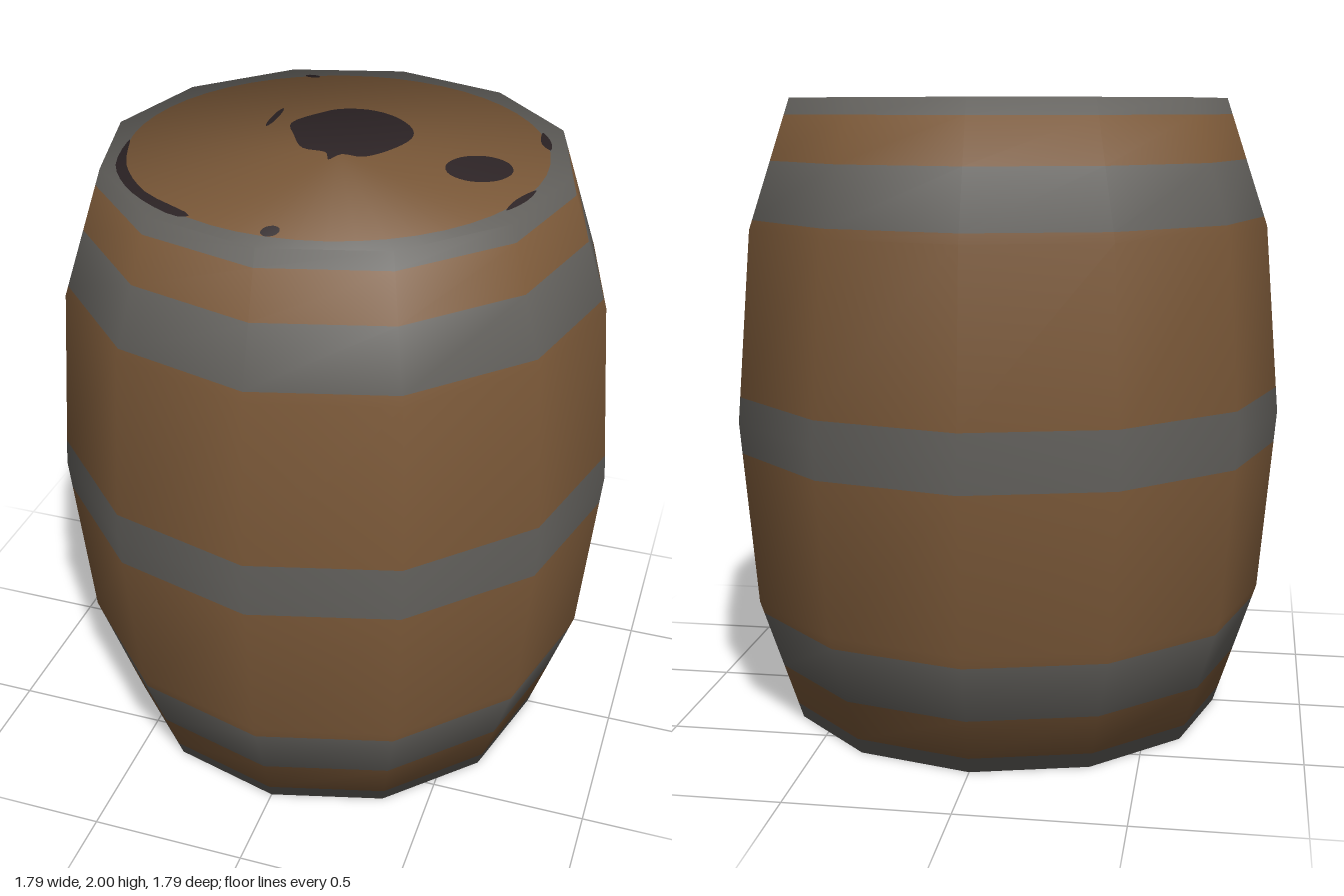
import * as THREE from 'three';

const wood = new THREE.MeshStandardMaterial({ color: 0x7a5838 });
wood.name = 'wood';
const iron = new THREE.MeshStandardMaterial({ color: 0x62605c });
iron.name = 'iron';
const stain = new THREE.MeshStandardMaterial({ color: 0x2d2426 });
stain.name = 'darkStain';

const SIDES = 12;
const RIM = 0.71;
const STEP = (Math.PI * 2) / SIDES;
// soft normal at the rim, shared by wall and lid
const RIM_N = [0.69, 0.73];

// wall profile: radius, height, outward normal, upward normal
const WALL = [
  [RIM, 0, RIM_N[0], -RIM_N[1]],
  [0.845, 0.41, 0.98, -0.19],
  [0.895, 1, 1, 0],
  [0.845, 1.6, 0.98, 0.19],
  [RIM, 2, RIM_N[0], RIM_N[1]],
];

function wallAt(y) {
  let i = 0;
  while (i < WALL.length - 2 && y > WALL[i + 1][1]) i++;
  const a = WALL[i], b = WALL[i + 1];
  const t = (y - a[1]) / (b[1] - a[1]);
  return a.map((v, k) => v + (b[k] - v) * t);
}

// distance to the edge of a unit twelve-sided polygon at an angle
function polygonFactor(angle) {
  const local = ((angle + 1e-9) % STEP) - STEP / 2;
  return Math.cos(STEP / 2) / Math.cos(local);
}

// skins rows of [radius, y, outward normal, upward normal, isRound]
function loft(rows, segments) {
  const pos = [], nor = [], idx = [];
  const w = segments + 1;
  rows.forEach(([r, y, nr, ny, isRound], j) => {
    for (let i = 0; i <= segments; i++) {
      const a = (i / segments) * Math.PI * 2;
      const f = isRound ? 1 : polygonFactor(a);
      const s = Math.sin(a) * f, c = Math.cos(a) * f;
      pos.push(s * r, y, c * r);
      const n = new THREE.Vector3(s * nr, ny, c * nr).normalize();
      nor.push(n.x, n.y, n.z);
      if (j > 0 && i < segments) {
        const p = (j - 1) * w + i, q = j * w + i;
        if (rows[j - 1][0] > 0) idx.push(p, p + 1, q + 1);
        if (r > 0) idx.push(p, q + 1, q);
        else if (rows[j - 1][0] === 0) continue;
      }
    }
  });
  // a row at the centre closes as a fan
  const g = new THREE.BufferGeometry();
  g.setAttribute('position', new THREE.Float32BufferAttribute(pos, 3));
  g.setAttribute('normal', new THREE.Float32BufferAttribute(nor, 3));
  g.setIndex(idx);
  return g;
}

// flat dark mark lying on the lid, from [x, z] points
function mark(points) {
  const curve = new THREE.CatmullRomCurve3(points.map(([x, z]) => new THREE.Vector3(x, -z, 0)), true);
  const outline = curve.getPoints(points.length * 4).slice(0, -1);
  const g = new THREE.ShapeGeometry(new THREE.Shape(outline.map((p) => new THREE.Vector2(p.x, p.y))));
  g.rotateX(-Math.PI / 2).translate(0, 2.003, 0);
  const p = g.attributes.position, n = g.attributes.normal;
  for (let i = 0; i < p.count; i++) {
    const k = RIM_N[0] / RIM;
    const v = new THREE.Vector3(p.getX(i) * k, RIM_N[1], p.getZ(i) * k).normalize();
    n.setXYZ(i, v.x, v.y, v.z);
  }
  return g;
}

function ellipse(x, z, rx, rz) {
  return Array.from({ length: 8 }, (_, i) => {
    const a = (i / 8) * Math.PI * 2;
    return [x + rx * Math.cos(a), z + rz * Math.sin(a)];
  });
}

export function createModel() {
  const model = new THREE.Group();
  const add = (name, geometry, material) => {
    const mesh = new THREE.Mesh(geometry, material);
    mesh.name = name;
    model.add(mesh);
  };

  // alternating iron hoops and wooden staves up the wall
  const cuts = [0, 0.05, 0.185, 0.37, 0.9, 1.08, 1.63, 1.81, 1.95, 2];
  for (let i = 0; i < cuts.length - 1; i++) {
    const lo = cuts[i], hi = cuts[i + 1];
    const inner = WALL.map((p) => p[1]).filter((y) => y > lo && y < hi);
    const hoop = i % 2 === 0;
    add(hoop ? 'hoop' : 'staves', loft([lo, ...inner, hi].map(wallAt), SIDES), hoop ? iron : wood);
  }

  // lids with an iron border, top and bottom
  const lidR = 0.635;
  const lidN = (RIM_N[0] * lidR) / RIM;
  for (const top of [true, false]) {
    const y = top ? 2 : 0, ny = top ? RIM_N[1] : -RIM_N[1];
    const edge = [RIM, y, RIM_N[0], ny, false];
    const border = [lidR, y, lidN, ny, true];
    const centre = [0, y, 0, ny, true];
    const order = (rows) => (top ? rows : rows.reverse());
    const side = top ? 'top' : 'bottom';
    add(side + 'Border', loft(order([edge, border]), 48), iron);
    add(side + 'Lid', loft(order([border, centre]), 48), wood);
  }

  // bung hole and tap hole
  add('largeHole', mark([[0, -0.33], [0.09, -0.3], [0.17, -0.22], [0.19, -0.14], [0.15, -0.03], [0.09, 0.04],
    [0.025, 0.04], [0, 0.09], [-0.025, 0.04], [-0.1, 0.03], [-0.16, -0.06], [-0.2, -0.15], [-0.14, -0.26], [-0.09, -0.31]]), stain);
  add('smallHole', mark(ellipse(0.44, 0.02, 0.1, 0.097)), stain);

  // worn marks near the lid's edge
  add('wornEdge', mark([[-0.62, 0.13], [-0.55, 0.31], [-0.42, 0.47], [-0.24, 0.58], [-0.27, 0.595], [-0.45, 0.49], [-0.58, 0.32]]), stain);
  add('wornEdge', mark([[0.56, -0.31], [0.6, -0.24], [0.61, -0.18], [0.575, -0.22]]), stain);
  add('wornEdge', mark([[0.63, 0.12], [0.62, 0.2], [0.58, 0.28], [0.59, 0.2]]), stain);
  add('wornSpot', mark(ellipse(0.005, 0.605, 0.025, 0.035)), stain);
  add('wornSpot', mark(ellipse(-0.27, -0.565, 0.025, 0.012)), stain);
  add('scratch', mark(ellipse(-0.265, -0.18, 0.01, 0.08)), stain);
  return model;
}
